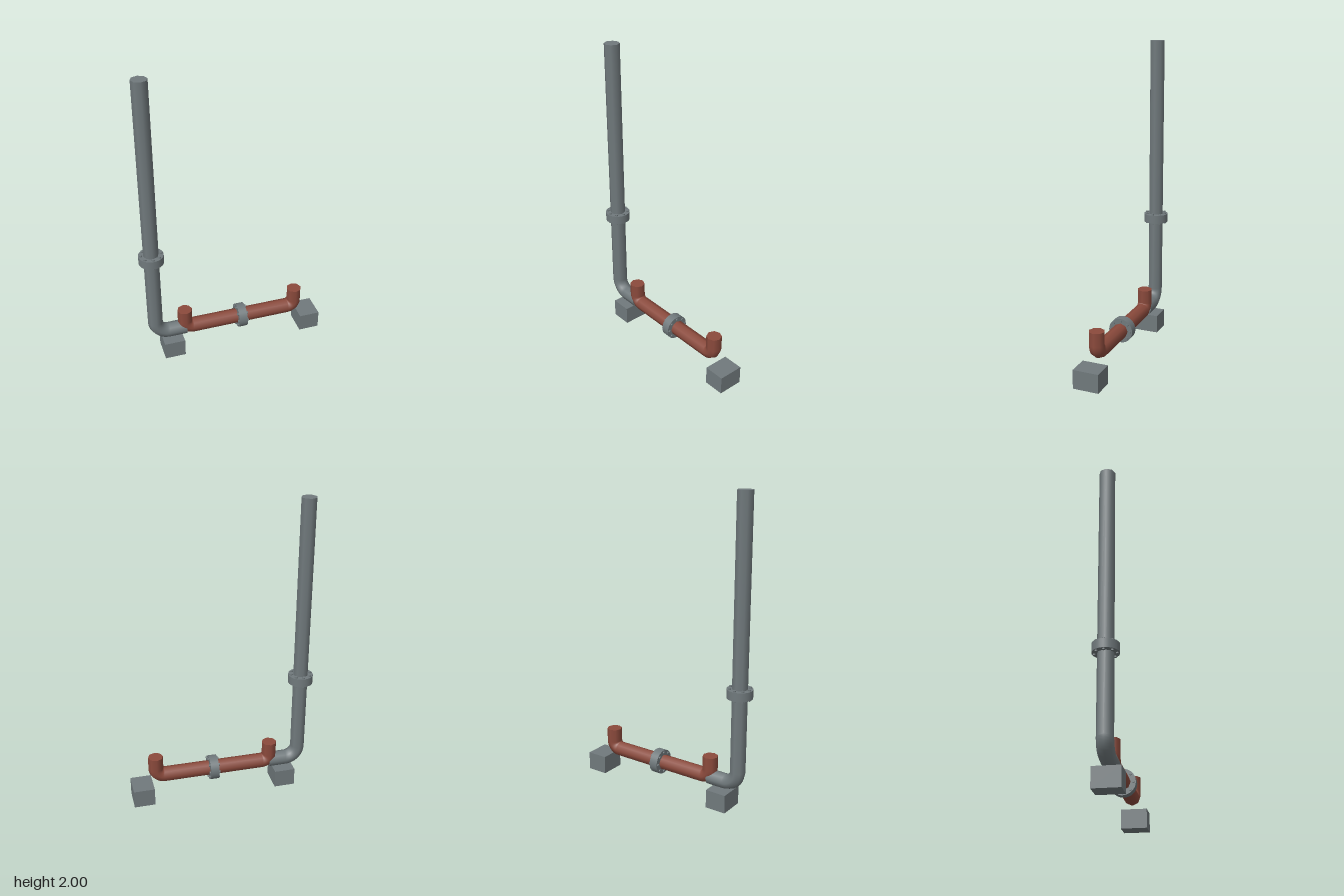
import * as THREE from 'three';

const RADIUS = 0.05; // pipe radius
const SIDES = 8;

export function createModel() {
  const model = new THREE.Group();
  model.name = 'pipework';
  const grey = new THREE.MeshStandardMaterial({ color: 0x70797c });
  grey.name = 'steel grey';
  const red = new THREE.MeshStandardMaterial({ color: 0x8b4a3c });
  red.name = 'rust red';

  function add(parent, name, geometry, material, x = 0, y = 0, z = 0) {
    const mesh = new THREE.Mesh(geometry, material);
    mesh.name = name;
    mesh.position.set(x, y, z);
    parent.add(mesh);
    return mesh;
  }

  // Straight pipes between two coordinates
  function upright(name, material, x, y0, y1) {
    const g = new THREE.CylinderGeometry(RADIUS, RADIUS, y1 - y0, SIDES);
    add(model, name, g, material, x, (y0 + y1) / 2);
  }
  function level(name, material, x0, x1, y) {
    const g = new THREE.CylinderGeometry(RADIUS, RADIUS, x1 - x0, SIDES);
    add(model, name, g, material, (x0 + x1) / 2, y).rotation.z = -Math.PI / 2;
  }

  // Quarter bend about its centre
  function elbow(name, material, x, y, bend, turn) {
    const g = new THREE.TorusGeometry(bend, RADIUS, SIDES, 12, Math.PI / 2);
    add(model, name, g, material, x, y).rotation.z = turn;
  }

  // Bolted flange with its axis along y
  function flange(name, x, y) {
    const group = new THREE.Group();
    group.name = name;
    group.position.set(x, y, 0);
    add(group, 'flangeDisc', new THREE.CylinderGeometry(0.081, 0.081, 0.057, 32), grey);
    const bolt = new THREE.CylinderGeometry(0.009, 0.009, 0.074, 8);
    for (let i = 0; i < 8; i++) {
      const a = (i * Math.PI) / 4;
      add(group, 'bolt', bolt, grey, Math.cos(a) * 0.066, 0, Math.sin(a) * 0.066);
    }
    model.add(group);
    return group;
  }

  const axisY = 0.178;

  // Tall grey riser with a foot running to the right
  const riserX = -0.537, greyBend = 0.09;
  upright('riser', grey, riserX, axisY + greyBend, 2);
  elbow('riserElbow', grey, riserX + greyBend, axisY + greyBend, greyBend, Math.PI);
  level('riserFoot', grey, riserX + greyBend, -0.33, axisY);
  flange('riserFlange', riserX, 0.787);

  // Red U-shaped pipe with two short upturned ends
  const x0 = -0.334, x1 = 0.449, redBend = 0.053;
  for (const [x, side, turn] of [[x0, 1, Math.PI], [x1, -1, Math.PI * 1.5]]) {
    upright('redEnd', red, x, axisY + redBend, 0.32);
    elbow('redElbow', red, x + side * redBend, axisY + redBend, redBend, turn);
  }
  level('redPipe', red, x0 + redBend, x1 - redBend, axisY);
  flange('redPipeFlange', 0.06, axisY).rotation.z = -Math.PI / 2;

  // Support blocks
  for (const x of [-0.428, 0.544]) {
    add(model, 'supportBlock', new THREE.BoxGeometry(0.139, 0.122, 0.168), grey, x, 0.061);
  }

  return model;
}
